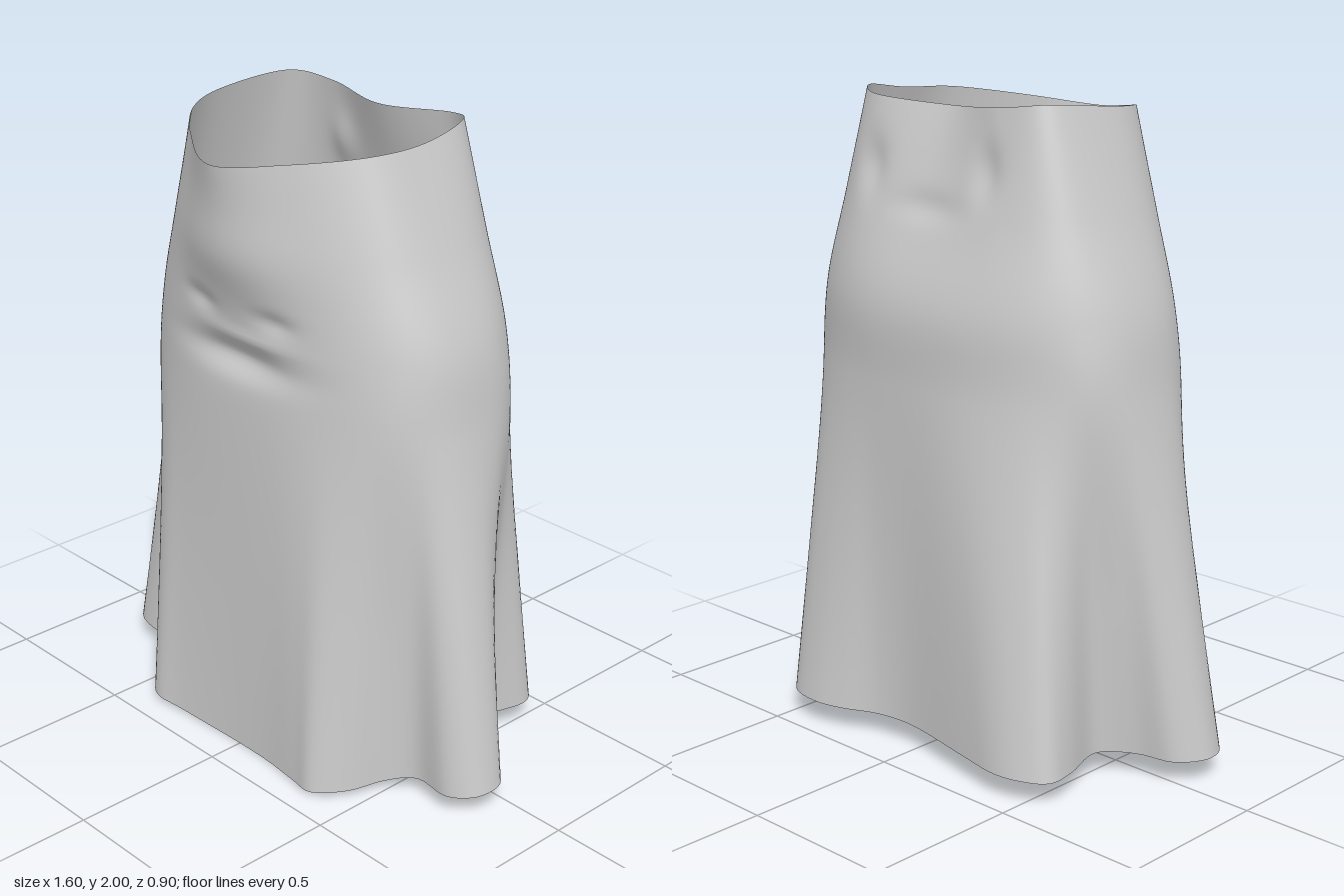
import * as THREE from 'three';

const COLS = 180, ROWS = 80, N = 36;
const lerp = THREE.MathUtils.lerp;

// Rings run back -> left (+x) -> front -> right (-x).
// Waist edge: x, y, z every 30 degrees
const WAIST = [
  [0, 1.97, -0.20], [0.25, 1.985, -0.25], [0.37, 2.0, -0.17], [0.40, 1.975, 0.01],
  [0.37, 1.965, 0.19], [0.21, 1.94, 0.345], [0, 1.915, 0.45], [-0.21, 1.94, 0.345],
  [-0.36, 1.965, 0.21], [-0.425, 1.98, 0.04], [-0.39, 2.0, -0.19], [-0.24, 1.985, -0.245],
];
// Hem outline with its six flared folds: x, z every 10 degrees
const HEM = [
  [0, -0.37], [0.15, -0.38], [0.27, -0.43], [0.37, -0.45], [0.48, -0.43], [0.53, -0.36],
  [0.50, -0.20], [0.57, -0.09], [0.70, -0.03], [0.79, 0.03], [0.79, 0.13], [0.71, 0.185],
  [0.58, 0.17], [0.50, 0.23], [0.45, 0.34], [0.37, 0.42], [0.28, 0.41], [0.14, 0.39],
  [0, 0.385], [-0.14, 0.39], [-0.28, 0.40], [-0.38, 0.41], [-0.44, 0.37], [-0.48, 0.27],
  [-0.55, 0.18], [-0.68, 0.19], [-0.77, 0.165], [-0.80, 0.07], [-0.74, -0.02], [-0.62, -0.05],
  [-0.53, -0.13], [-0.57, -0.28], [-0.575, -0.38], [-0.50, -0.43], [-0.40, -0.445], [-0.26, -0.42],
];
// Soft dents and bulges: side (1 front, -1 back), x, y, width, height, outward amount
const DENTS = [
  [1, 0, 1.64, 0.25, 0.12, 0.022],
  [1, 0, 1.31, 0.20, 0.045, -0.035],
  [1, 0.16, 1.46, 0.07, 0.03, -0.015],
  [1, -0.16, 1.46, 0.07, 0.03, -0.015],
  [1, 0.05, 1.385, 0.16, 0.02, 0.008],
  [-1, 0.24, 1.78, 0.05, 0.08, -0.02],
  [-1, -0.22, 1.8, 0.05, 0.08, -0.02],
  [-1, 0, 1.68, 0.12, 0.04, -0.012],
];

const closedRing = (points) => {
  const curve = new THREE.CatmullRomCurve3(points, true, 'catmullrom', 0.5);
  return Array.from({ length: COLS }, (_, i) => curve.getPoint(i / COLS));
};

// Rounded body section at height y
function bodyRing(y, halfWidth, front, back) {
  const pow = (v) => Math.sign(v) * Math.abs(v) ** (2 / 2.3);
  return closedRing(Array.from({ length: N }, (_, i) => {
    const a = (i / N) * Math.PI * 2;
    const z = -pow(Math.cos(a));
    return new THREE.Vector3(pow(Math.sin(a)) * halfWidth, y, z * (z > 0 ? front : back));
  }));
}

const mixRings = (a, b, t) => a.map((p, i) => p.clone().lerp(b[i], t));

function hemRing() {
  return closedRing(HEM.map(([x, z]) => {
    const f = THREE.MathUtils.smoothstep(z, 0, 0.3);
    return new THREE.Vector3(x, lerp(0.075, 0.11 * x * x, f), z);
  }));
}

function skirtGeometry() {
  const waist = closedRing(WAIST.map((p) => new THREE.Vector3(...p)));
  const hip = bodyRing(1.4, 0.597, 0.37, 0.39);
  const thigh = bodyRing(1.15, 0.63, 0.378, 0.39);
  const hem = hemRing();
  const rings = [
    waist, mixRings(waist, hip, 0.53), hip, thigh,
    mixRings(thigh, hem, 0.55), hem,
  ];

  // Each column of cloth is a smooth curve from waist to hem
  const columns = waist.map((_, c) =>
    new THREE.CatmullRomCurve3(rings.map((r) => r[c]), false, 'centripetal'));
  const positions = [], index = [];
  for (let r = 0; r <= ROWS; r++) {
    for (let c = 0; c < COLS; c++) {
      const p = columns[c].getPoint(r / ROWS);
      const { x, y } = p;
      const side = Math.sign(p.z);
      for (const [s, dx, dy, w, h, amount] of DENTS) {
        if (s !== side) continue;
        p.z += s * amount * Math.exp(-(((x - dx) / w) ** 2) - ((y - dy) / h) ** 2)
          * THREE.MathUtils.smoothstep(Math.abs(p.z), 0, 0.15);
      }
      positions.push(p.x, p.y, p.z);
      if (r === ROWS) continue;
      const a = r * COLS + c, b = r * COLS + ((c + 1) % COLS);
      index.push(a, b, a + COLS, b, b + COLS, a + COLS);
    }
  }
  const geometry = new THREE.BufferGeometry();
  geometry.setAttribute('position', new THREE.Float32BufferAttribute(positions, 3));
  geometry.setIndex(index);
  geometry.computeVertexNormals();
  return geometry;
}

export function createModel() {
  const group = new THREE.Group();
  group.name = 'skirt';
  const cloth = new THREE.MeshStandardMaterial({ color: 0xcccccc, side: THREE.DoubleSide });
  const mesh = new THREE.Mesh(skirtGeometry(), cloth);
  mesh.name = 'skirtCloth';
  group.add(mesh);
  return group;
}
